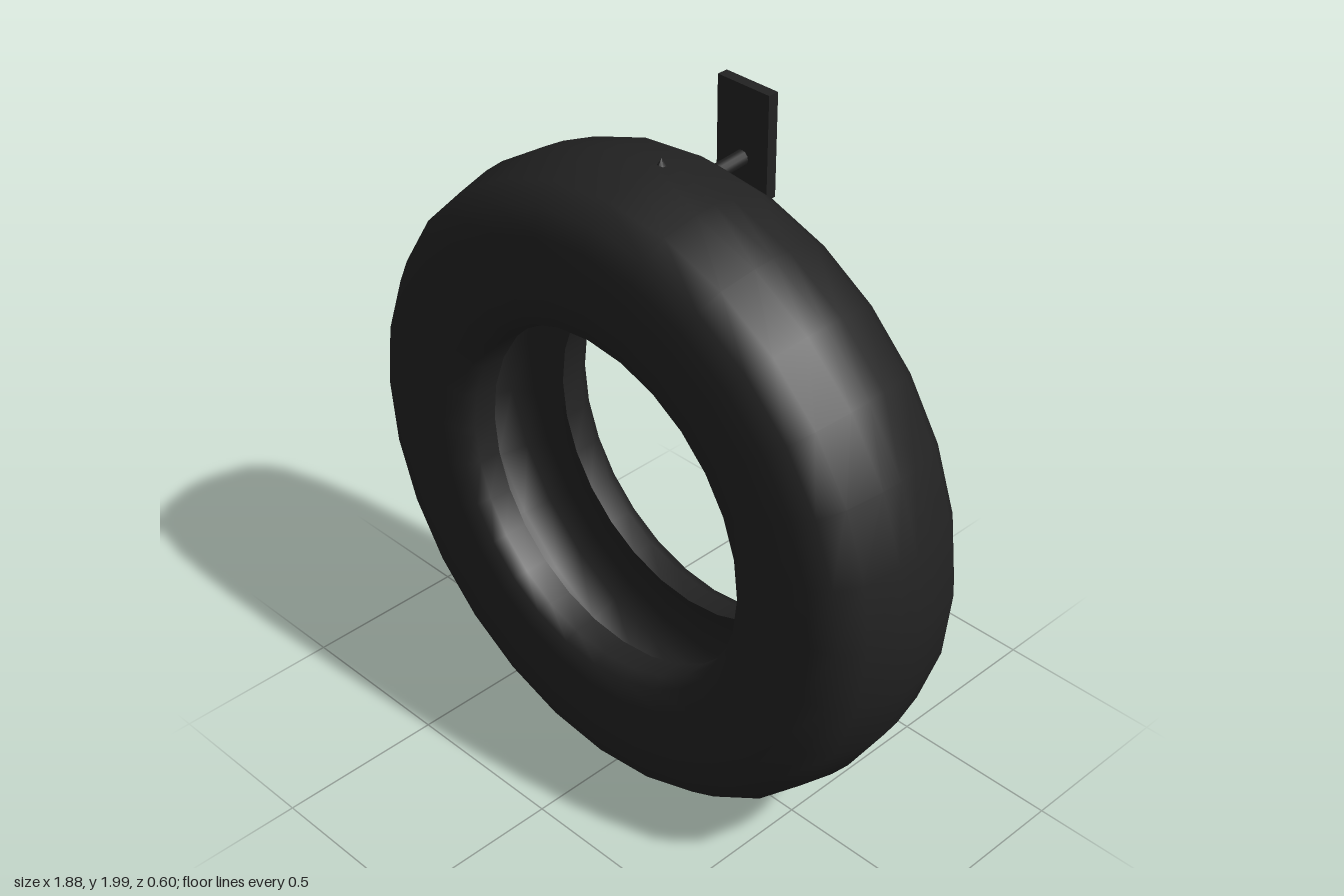
import * as THREE from 'three';

export function createModel() {
  const model = new THREE.Group();
  model.name = 'wallMountedTyre';
  const rubber = new THREE.MeshStandardMaterial({ color: 0x222222 });
  rubber.name = 'blackRubber';

  const add = (parent, name, geometry, x = 0, y = 0, z = 0) => {
    const mesh = new THREE.Mesh(geometry, rubber);
    mesh.name = name;
    mesh.position.set(x, y, z);
    parent.add(mesh);
    return mesh;
  };

  // Half profiles as [distance from mid plane, radius], mirrored about the mid plane
  const ring = (half, outward) => {
    const right = half.map(([w, r]) => new THREE.Vector2(r, w));
    const left = half.slice(1).reverse().map(([w, r]) => new THREE.Vector2(r, -w));
    const points = [...left, ...right];
    if (!outward) points.reverse();
    return new THREE.LatheGeometry(points, 28).rotateX(Math.PI / 2);
  };

  const tyre = new THREE.Group();
  tyre.name = 'tyre';
  tyre.position.set(0, 0.945, 0.045);
  model.add(tyre);

  // Tread, shoulders, sidewalls and bead lips
  add(tyre, 'tyreOuter', ring([
    [0, 0.938], [0.06, 0.932], [0.165, 0.908], [0.225, 0.86], [0.248, 0.79],
    [0.255, 0.7], [0.25, 0.6], [0.237, 0.535], [0.2, 0.515], [0.13, 0.513],
  ], true));

  // Hollow inside of the casing
  add(tyre, 'tyreLiner', ring([
    [0, 0.87], [0.1, 0.86], [0.17, 0.81], [0.195, 0.73], [0.19, 0.63],
    [0.16, 0.56], [0.13, 0.513],
  ], false));

  // Small moulding nub on the crown of the tread
  add(tyre, 'treadNub', new THREE.ConeGeometry(0.015, 0.025, 6), 0, 0.943, -0.025);

  // Wall bracket: a short stem and a flat plate behind the tyre
  const stem = add(model, 'bracketStem',
    new THREE.CylinderGeometry(0.022, 0.022, 0.13, 12).rotateX(Math.PI / 2), 0, 1.788, -0.215);
  stem.rotation.x = 0.08;
  add(model, 'bracketPlate', new THREE.BoxGeometry(0.18, 0.3, 0.033), 0, 1.85, -0.287);

  return model;
}
